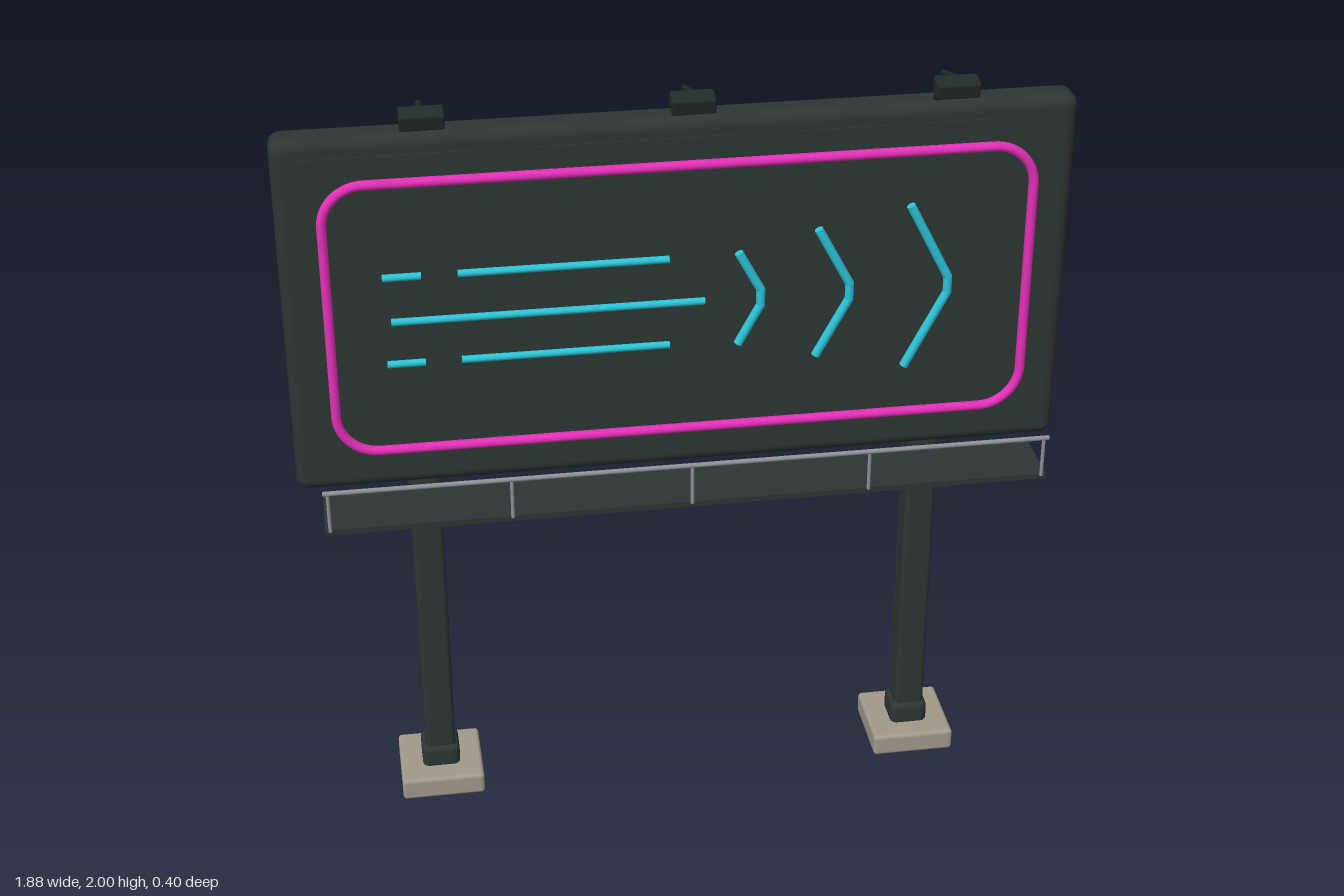
import * as THREE from 'three';
import { RoundedBoxGeometry } from 'three/addons/geometries/RoundedBoxGeometry.js';

const mat = (name, color) => {
  const m = new THREE.MeshStandardMaterial({ color });
  m.name = name;
  return m;
};

export function createModel() {
  const model = new THREE.Group();
  model.name = 'billboard';
  const dark = mat('dark green metal', 0x2c3634);
  const black = mat('blackened metal', 0x232a2a);
  const steel = mat('galvanised steel', 0x8c9196);
  const concrete = mat('concrete', 0xa2998b);
  const pink = mat('pink neon', 0xe430b8);
  const cyan = mat('cyan neon', 0x2cc4d8);

  const add = (name, geometry, material, x = 0, y = 0, z = 0) => {
    const mesh = new THREE.Mesh(geometry, material);
    mesh.name = name;
    mesh.position.set(x, y, z);
    model.add(mesh);
    return mesh;
  };
  const box = (name, material, w, h, d, x, y, z, r = 0) =>
    add(name, r ? new RoundedBoxGeometry(w, h, d, 3, r) : new THREE.BoxGeometry(w, h, d), material, x, y, z);

  // Round bar through a list of points, with a ball at every bend
  const rod = (name, material, r, ...points) => {
    const p = points.map((a) => new THREE.Vector3(...a));
    for (let i = 0; i < p.length - 1; i++) {
      const dir = p[i + 1].clone().sub(p[i]);
      const mid = p[i].clone().add(p[i + 1]).multiplyScalar(0.5);
      const bar = add(name, new THREE.CylinderGeometry(r, r, dir.length(), 12), material, mid.x, mid.y, mid.z);
      bar.quaternion.setFromUnitVectors(new THREE.Vector3(0, 1, 0), dir.normalize());
      if (i > 0) add(name + 'Bend', new THREE.SphereGeometry(r, 12, 8), material, ...points[i]);
    }
  };

  // Sign panel with a slightly raised face
  box('signPanel', dark, 1.88, 0.91, 0.094, 0, 1.42, -0.021, 0.03);
  box('signFace', dark, 1.79, 0.82, 0.008, 0, 1.42, 0.026);

  // Pink neon border: a tube along a rounded rectangle
  const hw = 0.834, top = 1.77, bottom = 1.08, c = 0.1, nz = 0.05;
  const border = new THREE.CurvePath();
  const v = (x, y) => new THREE.Vector3(x, y, nz);
  const corners = [[hw, bottom, -1, 0, 0, 1], [hw, top, 0, -1, -1, 0], [-hw, top, 1, 0, 0, -1], [-hw, bottom, 0, 1, 1, 0]];
  const k = 0.448 * c;
  corners.forEach(([x, y, ax, ay, bx, by], i) => {
    const next = corners[(i + 1) % 4];
    const end = v(x + bx * c, y + by * c);
    border.add(new THREE.CubicBezierCurve3(v(x + ax * c, y + ay * c), v(x + ax * k, y + ay * k), v(x + bx * k, y + by * k), end));
    border.add(new THREE.LineCurve3(end, v(next[0] + next[2] * c, next[1] + next[3] * c)));
  });
  add('neonBorder', new THREE.TubeGeometry(border, 400, 0.012, 10, true), pink);

  // Cyan neon dashes and chevrons
  for (const y of [1.31, 1.535]) {
    rod('neonDash', cyan, 0.009, [-0.705, y, nz], [-0.615, y, nz]);
    rod('neonLine', cyan, 0.009, [-0.53, y, nz], [-0.035, y, nz]);
  }
  rod('neonLine', cyan, 0.009, [-0.69, 1.42, nz], [0.05, 1.42, nz]);
  for (const [x0, x1, h] of [[0.13, 0.19, 0.12], [0.32, 0.405, 0.167], [0.54, 0.645, 0.213]]) {
    rod('neonChevron', cyan, 0.011, [x0, 1.42 + h, nz], [x1 - 0.006, 1.44, nz], [x1 - 0.006, 1.4, nz], [x0, 1.42 - h, nz]);
  }

  // Stand-off pegs holding the neon
  const pegs = [[-hw, 1.42], [hw, 1.42], [-0.47, top], [0.47, top], [-0.47, bottom], [0.47, bottom],
    [-0.66, 1.535], [-0.3, 1.535], [-0.3, 1.42], [-0.66, 1.31], [-0.3, 1.31], [0.18, 1.42], [0.395, 1.42], [0.635, 1.42]];
  for (const [x, y] of pegs) rod('neonPeg', black, 0.005, [x, y, 0.02], [x, y, nz]);

  // Posts with collars, footings and catwalk braces
  for (const x of [-0.63, 0.63]) {
    box('footing', concrete, 0.214, 0.06, 0.214, x, 0.03, -0.092, 0.01);
    box('postCollar', dark, 0.098, 0.07, 0.098, x, 0.083, -0.092, 0.018);
    box('post', dark, 0.078, 1.73, 0.078, x, 0.925, -0.092, 0.012);
    const brace = box('catwalkBrace', black, 0.018, 0.018, 0.246, x, 0.882, 0.06);
    brace.rotation.x = -Math.atan2(0.105, 0.22);
  }

  // Back rails: channels with a web and two flanges, plus end clamps
  for (const y of [1.74, 1.08]) {
    box('railWeb', steel, 1.44, 0.036, 0.02, 0, y, -0.085);
    for (const s of [-1, 1]) {
      box('railFlange', steel, 1.44, 0.008, 0.04, 0, y + s * 0.018, -0.09);
      box('railClamp', steel, 0.03, 0.046, 0.044, s * 0.71, y, -0.09, 0.005);
    }
  }

  // Catwalk and its guard rail
  box('catwalkDeck', dark, 1.76, 0.014, 0.165, 0, 0.942, 0.1);
  rod('guardRail', steel, 0.006, [-0.88, 1.05, 0.183], [0.88, 1.05, 0.183]);
  for (let i = -2; i <= 2; i++) {
    rod('guardPost', steel, 0.0045, [i * 0.434, 0.945, 0.183], [i * 0.434, 1.05, 0.183]);
  }

  // Lamps on bent arms
  for (const x of [-0.6, 0, 0.6]) {
    rod('lampArm', black, 0.007, [x, 1.865, -0.012], [x, 1.963, 0.055], [x, 1.991, 0.155]);
    const head = box('lampHead', black, 0.1, 0.038, 0.046, x, 1.975, 0.173, 0.005);
    head.rotation.x = 0.25;
  }
  return model;
}
